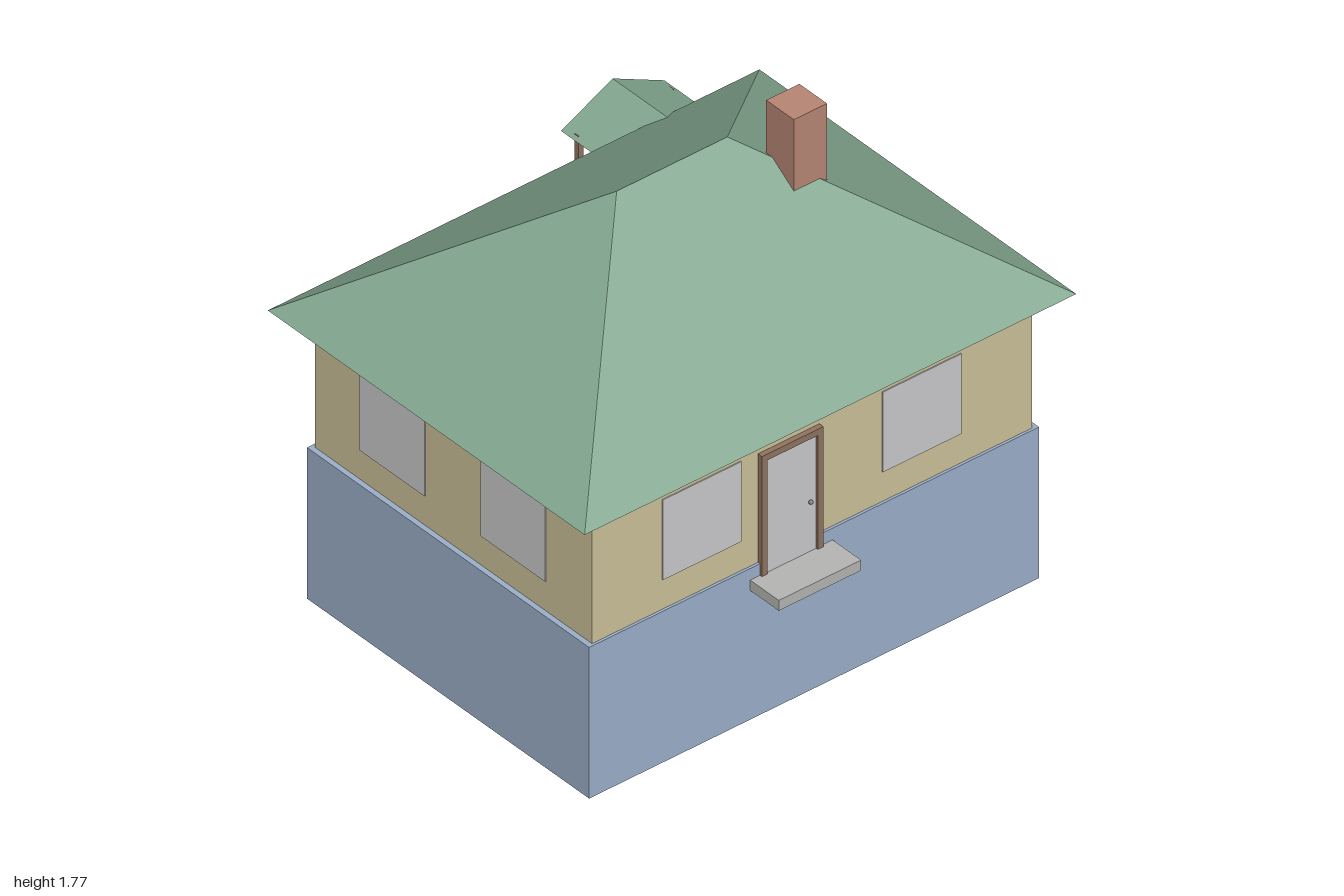
import * as THREE from 'three';

const mat = (name, color) => {
  const m = new THREE.MeshStandardMaterial({ color });
  m.name = name;
  return m;
};

export function createModel() {
  const house = new THREE.Group();
  house.name = 'house';

  const blue = mat('foundationBlue', 0x9bb0ca);
  const cream = mat('wallCream', 0xcbc19a);
  const green = mat('roofGreen', 0x82a78f);
  const brown = mat('woodBrown', 0x8f735f);
  const brick = mat('brickRed', 0xb68674);
  const glass = mat('paleGrey', 0xc9c9cb);
  const stone = mat('stoneGrey', 0xb5b5b3);
  const metal = mat('knobGrey', 0x77777a);

  const add = (parent, name, geometry, material) => {
    const mesh = new THREE.Mesh(geometry, material);
    mesh.name = name;
    parent.add(mesh);
    return mesh;
  };
  // Box given by its extents on each axis
  const box = (parent, name, material, [x0, x1], [y0, y1], [z0, z1]) => {
    const mesh = add(parent, name, new THREE.BoxGeometry(x1 - x0, y1 - y0, z1 - z0), material);
    mesh.position.set((x0 + x1) / 2, (y0 + y1) / 2, (z0 + z1) / 2);
    return mesh;
  };
  // Flat-shaded surface from convex polygons with counter-clockwise corners
  const faces = (polygons) => {
    const points = [];
    for (const p of polygons)
      for (let i = 1; i < p.length - 1; i++) points.push(...p[0], ...p[i], ...p[i + 1]);
    const g = new THREE.BufferGeometry();
    g.setAttribute('position', new THREE.Float32BufferAttribute(points, 3));
    g.computeVertexNormals();
    return g;
  };

  // Main body
  box(house, 'foundation', blue, [-0.915, 0.915], [0, 0.585], [-0.605, 0.775]);
  box(house, 'walls', cream, [-0.895, 0.895], [0.585, 1.105], [-0.59, 0.765]);

  // Hipped roof with a wooden underside
  const eave = 1.105;
  const [a, b, c, d] = [[-1, eave, 0.855], [1, eave, 0.855], [1, eave, -0.695], [-1, eave, -0.695]];
  const [l, r] = [[-0.225, 1.64, 0.08], [0.225, 1.64, 0.08]];
  add(house, 'roof', faces([[a, b, r, l], [b, c, r], [c, d, l, r], [d, a, l]]), green);
  add(house, 'soffit', faces([[a, d, c, b]]), brown);
  box(house, 'chimney', brick, [0.325, 0.46], [1.4, 1.775], [0.15, 0.285]);

  // Windows: thin panes on every wall
  const t = 0.004;
  for (const [x0, x1] of [[-0.61, -0.29], [0.285, 0.605]])
    box(house, 'frontWindow', glass, [x0, x1], [0.7, 1.01], [0.765 - t, 0.765 + t]);
  for (const [x0, x1] of [[-0.7, -0.375], [-0.13, 0.195]])
    box(house, 'backWindow', glass, [x0, x1], [0.7, 1.01], [-0.59 - t, -0.59 + t]);
  for (const side of [-1, 1])
    for (const [z0, z1] of [[0.225, 0.54], [-0.37, -0.05]])
      box(house, 'sideWindow', glass, [side * 0.895 - t, side * 0.895 + t], [0.7, 1.01], [z0, z1]);

  // Door with frame and knob; z = 0 is the face of the foundation
  const door = (name, knobX, height) => {
    const g = new THREE.Group();
    g.name = name;
    const top = 0.54 + height;
    for (const s of [-1, 1])
      box(g, 'doorJamb', brown, s < 0 ? [-0.125, -0.102] : [0.102, 0.125], [0.54, top], [-0.012, 0.01]);
    box(g, 'doorLintel', brown, [-0.102, 0.102], [top - 0.024, top], [-0.012, 0.01]);
    box(g, 'doorLeaf', glass, [-0.102, 0.102], [0.54, top - 0.024], [-0.012, 0.002]);
    const knob = add(g, 'doorKnob', new THREE.SphereGeometry(0.008, 12, 8), metal);
    knob.position.set(knobX, 0.735, 0.009);
    house.add(g);
    return g;
  };
  door('frontDoor', 0.075, 0.465).position.set(-0.095, 0, 0.775);
  const back = door('backDoor', -0.08, 0.475);
  back.position.set(0.59, 0, -0.605);
  back.rotation.y = Math.PI;

  box(house, 'frontStep', stone, [-0.26, 0.075], [0.5, 0.54], [0.775, 0.915]);

  // Back porch: platform, posts and gabled roof
  const porch = new THREE.Group();
  porch.name = 'backPorch';
  house.add(porch);
  box(porch, 'porchPlatform', stone, [0.38, 0.8], [0.415, 0.535], [-0.855, -0.605]);
  for (const x of [0.405, 0.775])
    box(porch, 'porchPost', brown, [x - 0.01, x + 0.01], [0.49, 1.04], [-0.873, -0.853]);
  const gable = new THREE.Shape([[-0.21, 1.03], [0.21, 1.03], [0, 1.135]].map((p) => new THREE.Vector2(...p)));
  const porchRoof = add(porch, 'porchRoof',
    new THREE.ExtrudeGeometry(gable, { depth: 0.33, bevelEnabled: false }), green);
  porchRoof.position.set(0.59, 0, -0.92);

  return house;
}
